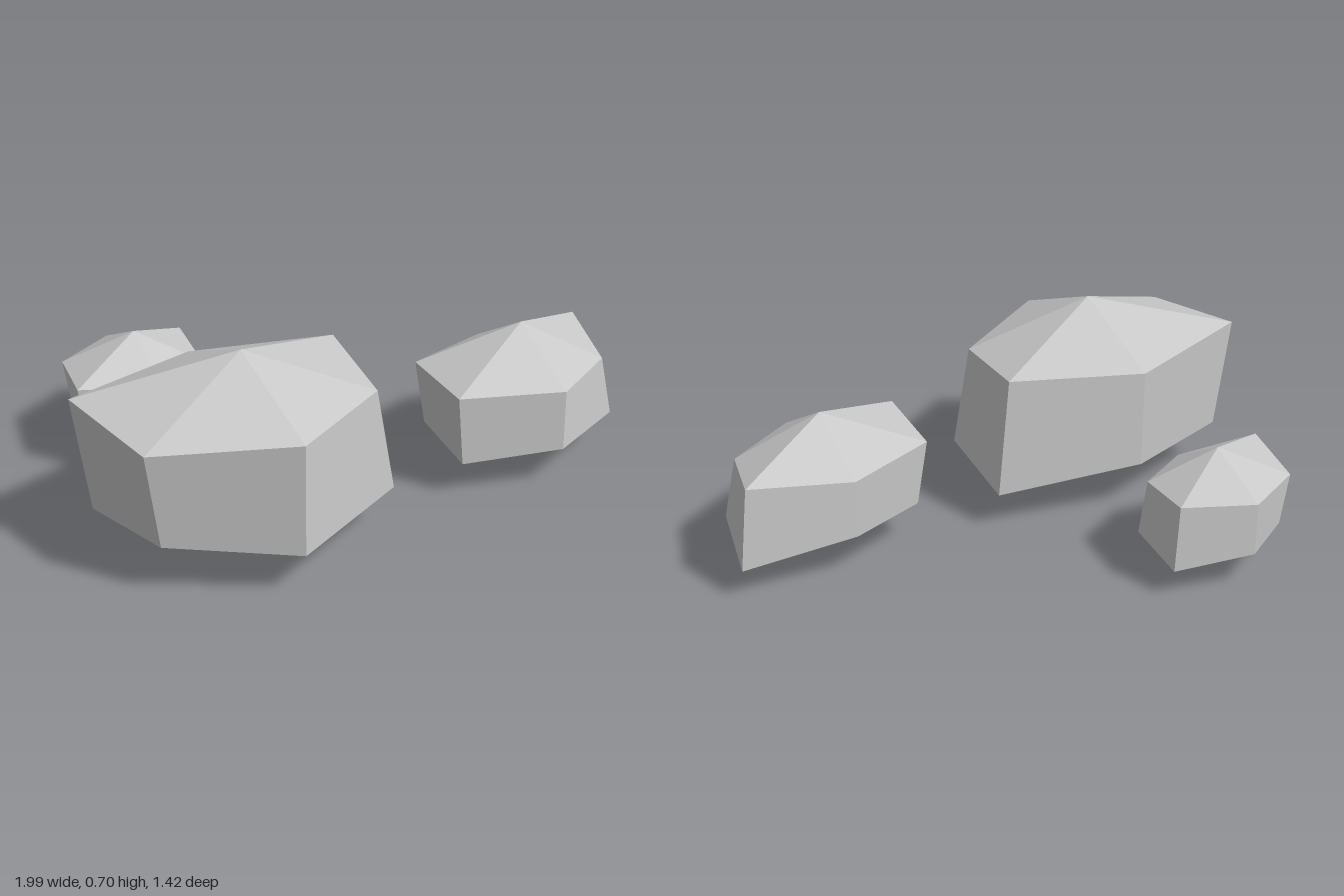
import * as THREE from 'three';

const stone = new THREE.MeshStandardMaterial({ name: 'stoneGrey', color: 0xc8c8c8 });

// Each ring lists radial factors in the order: left front, front, right front, right back, back, left back
const rocks = [
  { name: 'largeRock', centre: [-0.5, 0.356, 0.31], size: [0.6, 0.384, 0.447], top: 0.91, bottom: 0.885,
    upper: [0.978, 1.025, 0.89, 1.02, 0.945, 1.11], lower: [0.856, 1.025, 1.01, 1.15, 0.925, 1.0] },
  { name: 'mediumRock', centre: [0.596, 0.26, 0.308], size: [0.45, 0.255, 0.36], top: 1.02, bottom: 1.015,
    upper: [1.102, 0.865, 0.794, 1.067, 0.805, 0.978], lower: [0.996, 0.87, 0.91, 1.18, 0.81, 0.88] },
  { name: 'smallRock', centre: [-0.498, 0.217, -0.482], size: [0.32, 0.21, 0.29], top: 1.01, bottom: 0.975,
    upper: [1.2, 0.865, 0.867, 1.02, 0.91, 0.94], lower: [1.07, 0.86, 0.965, 1.13, 0.895, 0.84] },
];

// Gives both triangles of each side panel one shared normal, so the panel reads as a single facet
function flattenPanels(geometry) {
  geometry.computeVertexNormals();
  const normal = geometry.attributes.normal;
  const a = new THREE.Vector3();
  const b = new THREE.Vector3();
  for (let panel = 0; panel < 6; panel++) {
    const start = 18 + panel * 6; // the first 18 corners belong to the top cap
    a.fromBufferAttribute(normal, start);
    b.fromBufferAttribute(normal, start + 3);
    a.add(b).normalize();
    for (let i = start; i < start + 6; i++) normal.setXYZ(i, a.x, a.y, a.z);
  }
}

// A six-sided, two-ring stone whose corners are pushed in or out along their radius
function makeRock({ name, centre, size, top, bottom, upper, lower }) {
  const rows = [Array(6).fill(top), upper, lower, Array(6).fill(bottom)];
  const sphere = new THREE.SphereGeometry(1, 6, 3, Math.PI / 6);
  const position = sphere.attributes.position;
  const point = new THREE.Vector3();
  for (let i = 0; i < position.count; i++) {
    const factor = rows[Math.floor(i / 7)][(i % 7) % 6];
    point.fromBufferAttribute(position, i).multiplyScalar(factor);
    position.setXYZ(i, point.x * size[0], point.y * size[1], point.z * size[2]);
  }
  const geometry = sphere.toNonIndexed();
  flattenPanels(geometry);
  const rock = new THREE.Mesh(geometry, stone);
  rock.name = name;
  rock.position.set(...centre);
  return rock;
}

export function createModel() {
  const group = new THREE.Group();
  group.name = 'rocks';
  for (const rock of rocks) group.add(makeRock(rock));
  return group;
}
